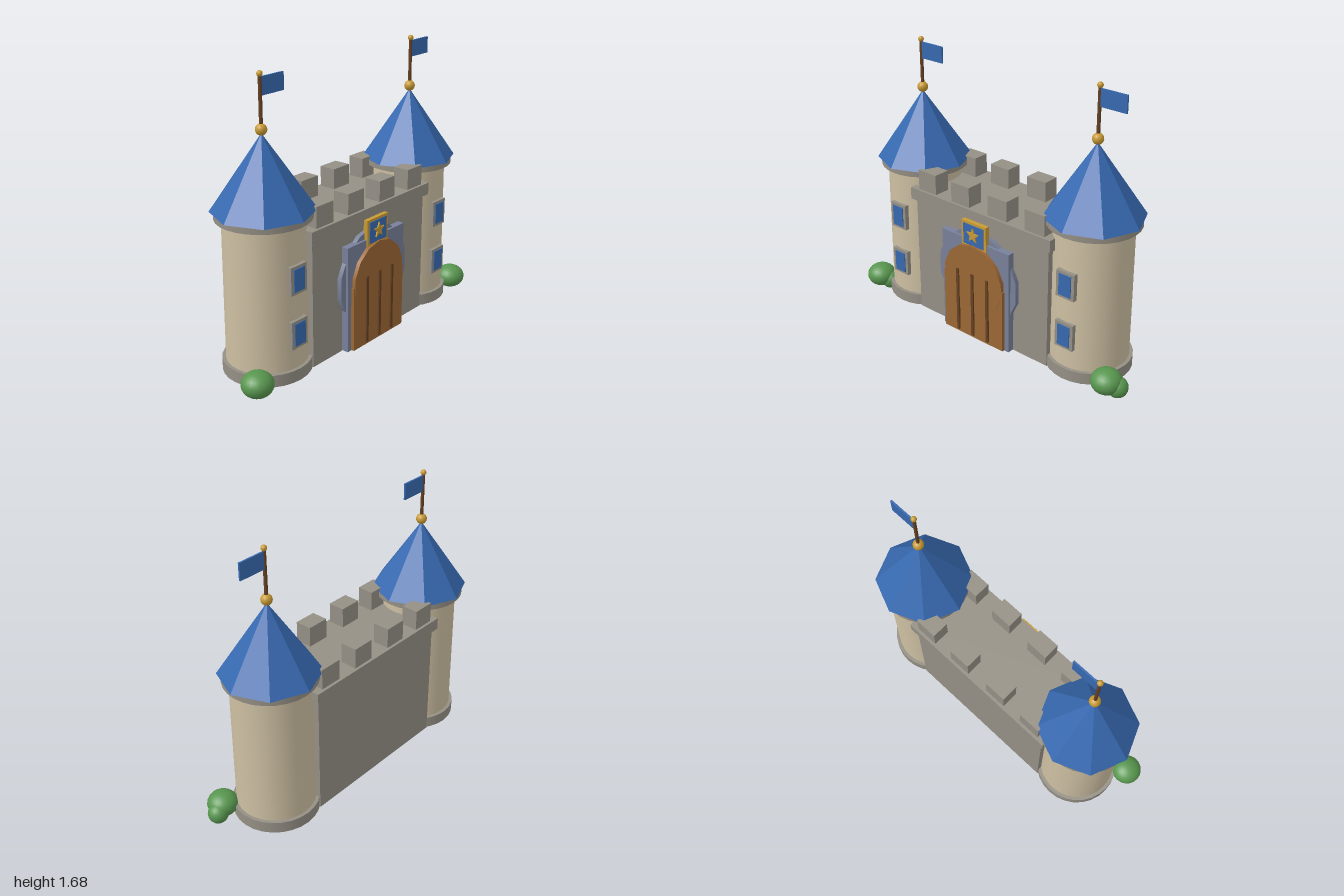
import * as THREE from 'three';

const mat = (name, color, extra = {}) => {
  const m = new THREE.MeshStandardMaterial({ color, ...extra });
  m.name = name;
  return m;
};

export function createModel() {
  const M = {
    plaster: mat('plaster', 0xcdbfa2),
    stone: mat('stone', 0x959085),
    roof: mat('roofBlue', 0x3769b0, { flatShading: true }),
    slate: mat('slateBlue', 0x78819a),
    wood: mat('wood', 0x9c6835),
    darkWood: mat('darkWood', 0x664122),
    gold: mat('gold', 0xc89a34),
    leaf: mat('leafGreen', 0x58964f),
  };
  const root = new THREE.Group();
  root.name = 'castle';

  const add = (parent, name, geo, material, x, y, z) => {
    const mesh = new THREE.Mesh(geo, material);
    mesh.name = name;
    mesh.position.set(x, y, z);
    parent.add(mesh);
    return mesh;
  };
  const group = (name, x = 0, y = 0, z = 0) => {
    const g = new THREE.Group();
    g.name = name;
    g.position.set(x, y, z);
    root.add(g);
    return g;
  };
  // box given by its centre in x and z, and its bottom and top in y
  const box = (parent, name, material, x, z, w, d, y0, y1) =>
    add(parent, name, new THREE.BoxGeometry(w, y1 - y0, d), material, x, (y0 + y1) / 2, z);
  // upright cylinder between two heights
  const drum = (parent, name, material, rTop, rBottom, y0, y1, sides) =>
    add(parent, name, new THREE.CylinderGeometry(rTop, rBottom, y1 - y0, sides), material, 0, (y0 + y1) / 2, 0);
  // disc facing the front, spanning z0 to z1
  const disc = (parent, name, material, r, y, z0, z1) =>
    add(parent, name, new THREE.CylinderGeometry(r, r, z1 - z0, 14).rotateX(Math.PI / 2), material, 0, y, (z0 + z1) / 2);

  // Towers with roofs, flags and windows
  for (const [side, x] of [['right', -0.645], ['left', 0.63]]) {
    const t = group(side + 'Tower', x);
    drum(t, 'towerBase', M.stone, 0.25, 0.25, 0.025, 0.095, 28);
    drum(t, 'towerShaft', M.plaster, 0.225, 0.23, 0.03, 0.91, 28);
    drum(t, 'towerRim', M.stone, 0.264, 0.264, 0.905, 0.94, 28);
    add(t, 'towerRoof', new THREE.ConeGeometry(0.286, 0.418, 8), M.roof, 0, 1.149, 0);
    add(t, 'roofBall', new THREE.SphereGeometry(0.032, 14, 10), M.gold, 0, 1.377, 0);
    drum(t, 'flagPole', M.darkWood, 0.01, 0.01, 1.38, 1.66, 8);
    add(t, 'poleBall', new THREE.SphereGeometry(0.017, 12, 8), M.gold, 0, 1.666, 0);
    box(t, 'flag', M.roof, 0.088, 0, 0.164, 0.01, 1.552, 1.65);
    for (const y of [0.302, 0.615]) {
      box(t, 'windowFrame', M.stone, 0, 0.225, 0.12, 0.04, y - 0.08, y + 0.08);
      box(t, 'windowPane', M.roof, 0, 0.246, 0.08, 0.009, y - 0.064, y + 0.064);
    }
  }

  // Wall between the towers, with ledge and battlements
  const wall = group('gateWall', -0.007);
  box(wall, 'wall', M.stone, 0, 0, 1.0, 0.43, 0.025, 0.77);
  box(wall, 'wallLedge', M.stone, 0, 0, 1.05, 0.476, 0.765, 0.838);
  for (const x of [-0.402, -0.141, 0.138, 0.404])
    for (const z of [-0.17, 0.17])
      box(wall, 'battlement', M.stone, x, z, 0.137, 0.102, 0.835, 0.96);

  // Gate: stone surround, arched door and bars
  const gate = group('gate', -0.007);
  disc(gate, 'archSurround', M.slate, 0.3, 0.423, 0.19, 0.242);
  box(gate, 'gateSurround', M.slate, 0, 0.225, 0.508, 0.064, 0.028, 0.665);
  box(gate, 'door', M.wood, 0, 0.255, 0.45, 0.046, 0.032, 0.42);
  disc(gate, 'doorArch', M.wood, 0.222, 0.42, 0.23, 0.28);
  for (const x of [-0.113, 0, 0.113])
    box(gate, 'doorBar', M.darkWood, x, 0.28, 0.018, 0.016, 0.05, 0.46);

  // Crest over the gate
  box(gate, 'crestFrame', M.gold, 0, 0.25, 0.184, 0.028, 0.625, 0.78);
  box(gate, 'crestPanel', M.roof, 0, 0.265, 0.15, 0.008, 0.638, 0.765);
  const star = new THREE.Shape();
  for (let i = 0; i < 10; i++) {
    const r = i % 2 ? 0.02 : 0.047;
    const a = Math.PI / 2 + (i * Math.PI) / 5;
    star[i ? 'lineTo' : 'moveTo'](r * Math.cos(a), r * Math.sin(a));
  }
  star.closePath();
  add(gate, 'crestStar', new THREE.ExtrudeGeometry(star, { depth: 0.009, bevelEnabled: false }), M.gold, 0, 0.705, 0.268);

  // Bushes at the outer foot of each tower
  for (const [side, x] of [['right', -0.907], ['left', 0.882]]) {
    const b = group(side + 'Bush', x);
    add(b, 'bushLarge', new THREE.SphereGeometry(0.09, 20, 14).scale(1, 0.8, 1), M.leaf, 0, 0.088, 0.18);
    add(b, 'bushSmall', new THREE.SphereGeometry(0.06, 18, 12), M.leaf, 0.058, 0.062, 0.157);
  }
  return root;
}
